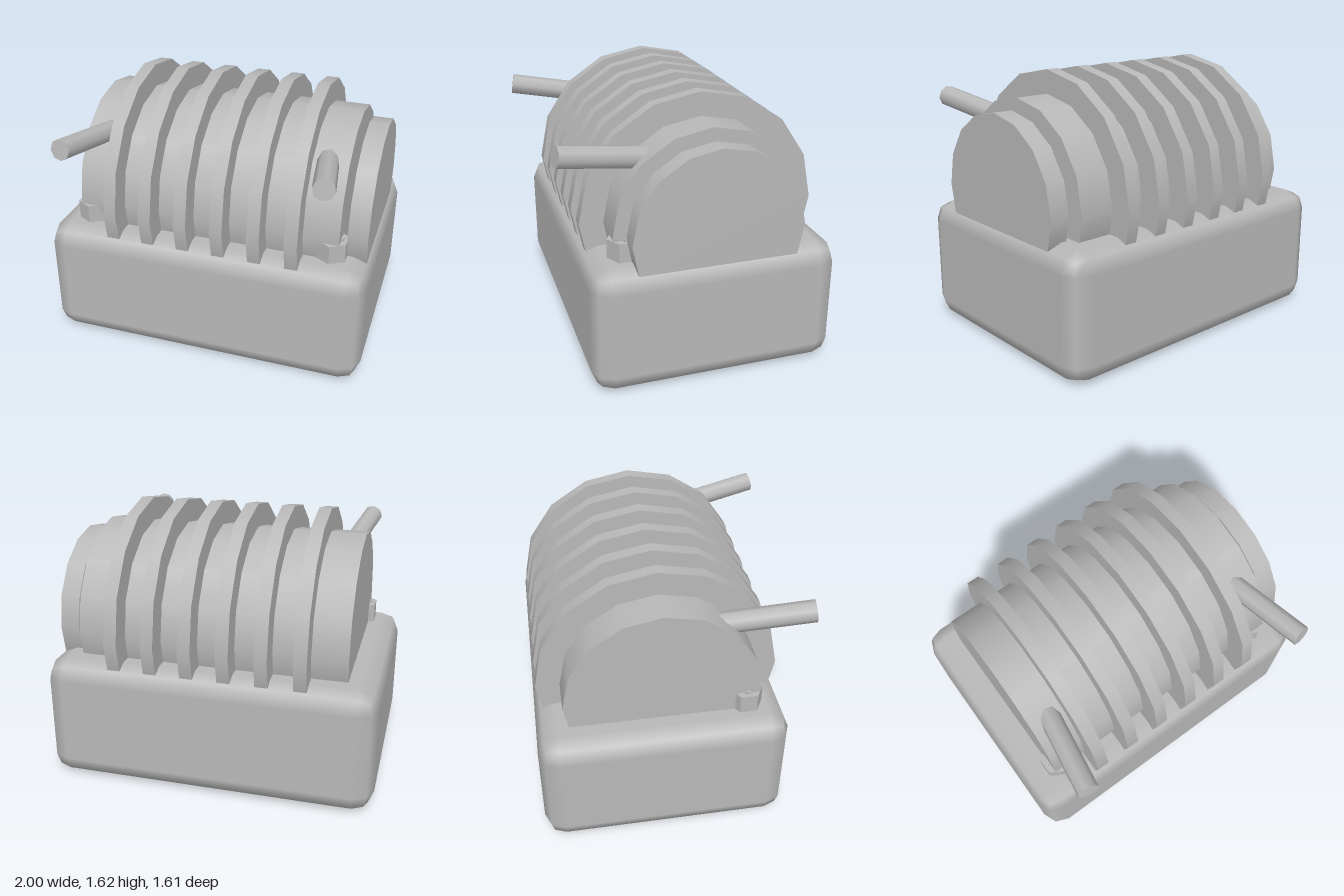
import * as THREE from 'three';
import { RoundedBoxGeometry } from 'three/addons/geometries/RoundedBoxGeometry.js';

const AXIS_Y = 0.905;
const AXIS_Z = -0.067;

export function createModel() {
  const model = new THREE.Group();
  model.name = 'finnedDrumMachine';
  const grey = new THREE.MeshStandardMaterial({ color: 0xb8b8b8 });
  grey.name = 'plain grey';

  const add = (name, geometry, x, y, z) => {
    const mesh = new THREE.Mesh(geometry, grey);
    mesh.name = name;
    mesh.position.set(x, y, z);
    model.add(mesh);
    return mesh;
  };

  // Sixteen-sided disc on the shared horizontal axis, sunk into the base
  const disc = (name, radius, width, x) =>
    add(name, new THREE.CylinderGeometry(radius, radius, width, 16).rotateZ(Math.PI / 2), x, AXIS_Y, AXIS_Z);

  // Chunky base with softened edges
  add('base', new RoundedBoxGeometry(2, 0.76, 1.47, 1, 0.12), 0, 0.38, AXIS_Z);

  // Drum, its six fins and the separate end plate on the left
  disc('drum', 0.573, 1.62, 0);
  for (let i = 0; i < 6; i++) disc('fin' + (i + 1), 0.715, 0.077, (i - 2.5) * 0.2235);
  disc('endPlate', 0.505, 0.12, 0.905);

  for (const side of [-1, 1]) {
    const label = side > 0 ? 'left' : 'right';

    // Handle rod leaning outwards and upwards from the drum
    const inner = new THREE.Vector3(side * 0.665, 1.287, 0.2);
    const outer = new THREE.Vector3(side * 0.758, 1.383, 0.792);
    const direction = outer.clone().sub(inner);
    const rod = add(label + 'Handle', new THREE.CylinderGeometry(0.064, 0.064, direction.length(), 8),
      (inner.x + outer.x) / 2, (inner.y + outer.y) / 2, (inner.z + outer.z) / 2);
    rod.quaternion.setFromUnitVectors(new THREE.Vector3(0, 1, 0), direction.normalize());

    // Hexagonal bolt with a small crossbar
    const bolt = new THREE.CylinderGeometry(0.1, 0.1, 0.175, 6).toNonIndexed();
    bolt.computeVertexNormals();
    add(label + 'Bolt', bolt, side * 0.76, 0.7875, 0.43);
    add(label + 'BoltBar', new THREE.BoxGeometry(0.13, 0.03, 0.03), side * 0.76, 0.875, 0.43);
  }
  return model;
}
